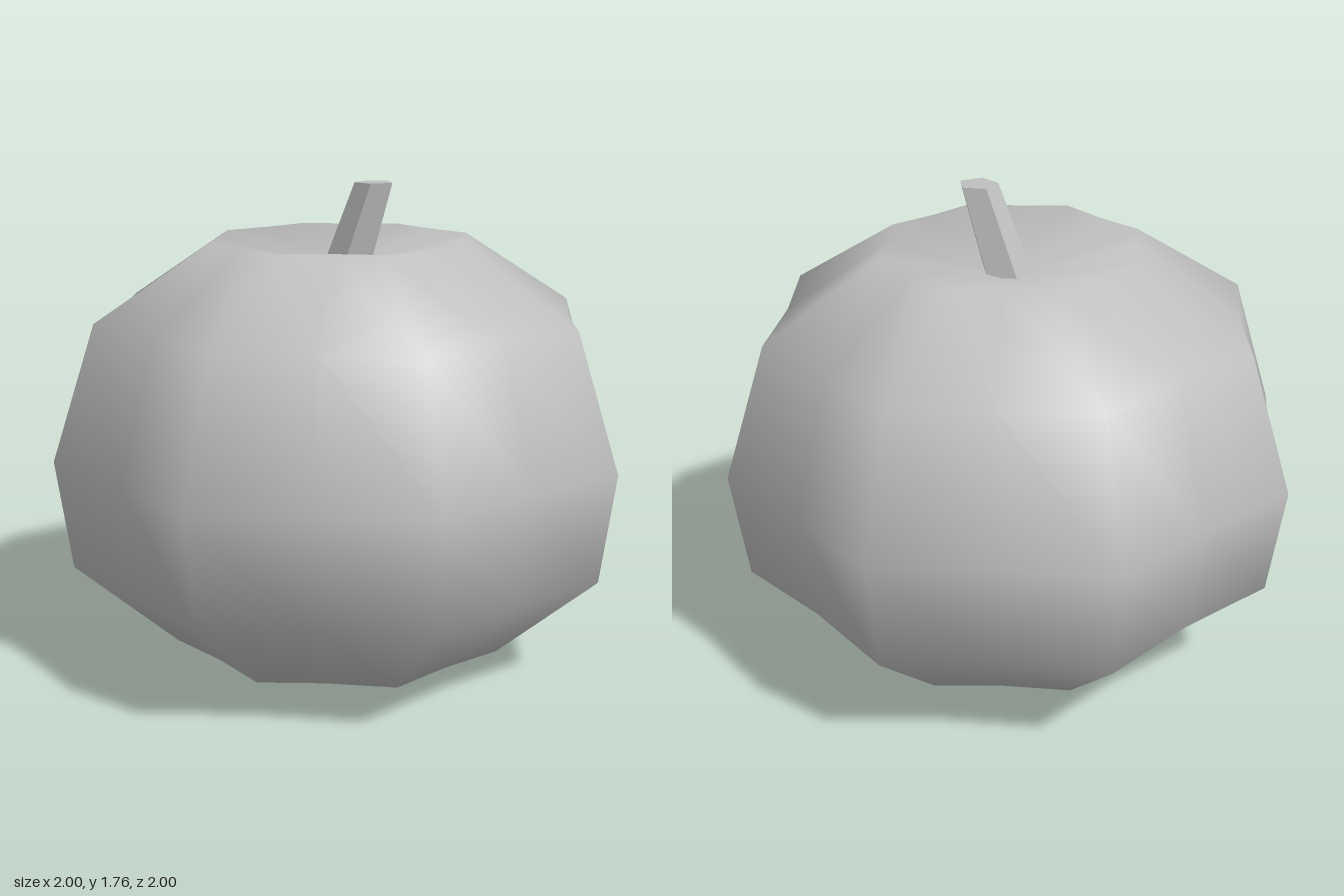
import * as THREE from 'three';

const SIDES = 16;
const TWIST = THREE.MathUtils.degToRad(20.8);

// Lobed gourd: every ring alternates ridge and valley vertices
function lobedBody() {
  const rings = [[0.487, 1.555], [0.91, 1.287], [1.07, 0.8], [1.016, 0.4], [0.642, 0.067]];
  const positions = [0, 1.43, 0]; // bottom of the dimple on top
  for (const [radius, y] of rings) {
    for (let j = 0; j < SIDES; j++) {
      const a = TWIST + (j / SIDES) * Math.PI * 2;
      const r = radius * (j % 2 ? 0.902 : 1);
      positions.push(r * Math.sin(a), y, r * Math.cos(a));
    }
  }
  positions.push(0, 0, 0);
  const last = positions.length / 3 - 1;
  const at = (i, j) => 1 + i * SIDES + (j % SIDES);
  const index = [];
  for (let j = 0; j < SIDES; j++) {
    index.push(0, at(0, j), at(0, j + 1));
    for (let i = 0; i < rings.length - 1; i++) {
      const a = at(i, j), b = at(i + 1, j), c = at(i + 1, j + 1), d = at(i, j + 1);
      index.push(a, b, c, a, c, d);
    }
    index.push(last, at(rings.length - 1, j + 1), at(rings.length - 1, j));
  }
  const g = new THREE.BufferGeometry();
  g.setAttribute('position', new THREE.Float32BufferAttribute(positions, 3));
  g.setIndex(index);
  g.computeVertexNormals();
  return g;
}

// Five-sided tapered stalk, sheared so that it leans
function leaningStem() {
  const height = 0.38;
  const g = new THREE.CylinderGeometry(0.072, 0.096, height, 5).toNonIndexed();
  g.rotateY(Math.PI);
  g.translate(0, height / 2, 0);
  const p = g.attributes.position;
  for (let i = 0; i < p.count; i++) {
    const t = p.getY(i) / height;
    p.setX(i, p.getX(i) + 0.119 * t);
    p.setZ(i, p.getZ(i) - 0.052 * t);
  }
  g.translate(0, 1.38, 0);
  g.computeVertexNormals();
  return g;
}

export function createModel() {
  const grey = new THREE.MeshStandardMaterial({ color: 0xc0c0c0 });
  grey.name = 'light grey';

  const group = new THREE.Group();
  group.name = 'pumpkin';

  const body = new THREE.Mesh(lobedBody(), grey);
  body.name = 'body';
  const stem = new THREE.Mesh(leaningStem(), grey);
  stem.name = 'stem';
  group.add(body, stem);
  return group;
}
